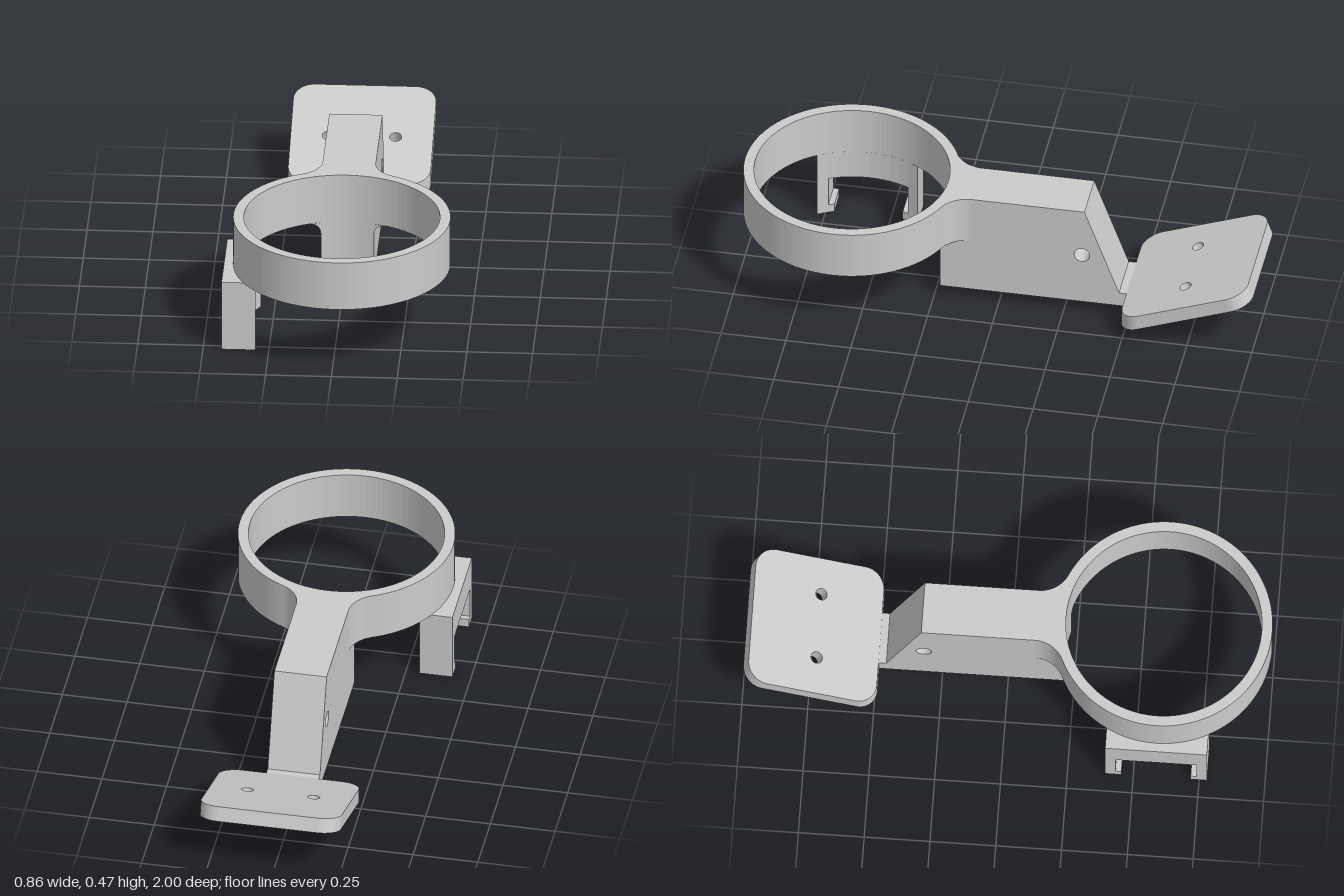
import * as THREE from 'three';

const CX = 0.016, CZ = 0.585;          // ring centre
const R_OUT = 0.412, R_IN = 0.372;     // ring radii
const ARM = 0.101, FIL = 0.12;         // arm half width, neck fillet radius
const FIL_Z = 0.101;                   // where the neck fillet meets the arm

const material = new THREE.MeshStandardMaterial({
  color: 0xcccccc, flatShading: true, side: THREE.DoubleSide });

// z of the ring's inner wall (arm side) for an offset dx from the centre line
const innerZ = dx => CZ - Math.sqrt(R_IN * R_IN - dx * dx);

function addMesh(group, name, geometry) {
  const mesh = new THREE.Mesh(geometry, material);
  mesh.name = name;
  group.add(mesh);
  return mesh;
}

function extrude(shape, depth, curveSegments = 24, steps = 1) {
  return new THREE.ExtrudeGeometry(shape, { depth, curveSegments, steps, bevelEnabled: false });
}

// Plan outline (x, z) raised from y0 to y1
function plan(shape, y0, y1, segments) {
  return extrude(shape, y1 - y0, segments).rotateX(Math.PI / 2).translate(0, y1, 0);
}

function hole(shape, x, y, r) {
  shape.holes.push(new THREE.Path().absarc(x, y, r, 0, Math.PI * 2, true));
}

function moveVertices(geometry, rule) {
  const p = geometry.attributes.position, v = new THREE.Vector3();
  for (let i = 0; i < p.count; i++) {
    v.fromBufferAttribute(p, i);
    rule(v);
    p.setXYZ(i, v.x, v.y, v.z);
  }
  geometry.computeVertexNormals();
  return geometry;
}

// Ring with filleted neck towards the arm
function ringGeometry() {
  const dx = ARM + FIL;
  const a = Math.atan2(FIL_Z - CZ, dx);
  const s = new THREE.Shape();
  s.absarc(CX, CZ, R_OUT, a, Math.PI - a, false);
  s.absarc(CX - dx, FIL_Z, FIL, -a, 0, true);
  s.absarc(CX + dx, FIL_Z, FIL, Math.PI, Math.PI + a, true);
  hole(s, CX, CZ, R_IN);
  return plan(s, 0.28, 0.475, 52);
}

// Arm: side profile (z, y), front end hollowed to the ring's inner wall
function armGeometry() {
  const s = new THREE.Shape([[0.23, 0.05], [0.23, 0.475], [-0.33, 0.475],
    [-0.463, 0.11], [-0.495, 0.11], [-0.49, 0.05]].map(p => new THREE.Vector2(...p)));
  hole(s, -0.32, 0.27, 0.03);
  const g = extrude(s, ARM * 2, 24, 8).rotateY(-Math.PI / 2).translate(CX + ARM, 0, 0);
  return moveVertices(g, v => { if (v.z > 0.2) v.z = innerZ(v.x - CX); });
}

// Concave fillet under the neck, beside the arm
function underFilletGeometry(side) {
  const N = 8, M = 10, pos = [], idx = [];
  for (let i = 0; i <= M; i++) {
    const t = Math.max(0, i - 1) / (M - 1);
    const z = 0.235 + (FIL_Z - 0.235) * t;
    const d = Math.max(0, z - FIL_Z);
    const edge = d < FIL ? FIL - Math.sqrt(FIL * FIL - d * d) : FIL;
    const r = Math.min(0.045, edge);
    for (let j = 0; j <= N; j++) {
      const a = (j / N) * Math.PI / 2;
      const k = i === 0 ? 0 : 1;       // first row closes the front end
      const x = ARM + k * r * (1 - Math.cos(a));
      const y = 0.28 - k * r * (1 - Math.sin(a));
      pos.push(CX + side * x, y, i < 2 ? innerZ(x) : z);
    }
  }
  for (let i = 0; i < M; i++) for (let j = 0; j < N; j++) {
    const a = i * (N + 1) + j, b = a + N + 1;
    if (side > 0) idx.push(a, a + 1, b, b, a + 1, b + 1);
    else idx.push(a, b, a + 1, b, b + 1, a + 1);
  }
  const g = new THREE.BufferGeometry();
  g.setAttribute('position', new THREE.Float32BufferAttribute(pos, 3));
  g.setIndex(idx);
  g.computeVertexNormals();
  return g;
}

// Tilted mounting plate with two screw holes
function plateGeometry() {
  const h = 0.271, L = 0.543, r = 0.08, q = Math.PI / 2;
  const s = new THREE.Shape();
  s.absarc(h - r, r, r, -q, 0, false);
  s.absarc(h - r, L - r, r, 0, q, false);
  s.absarc(r - h, L - r, r, q, 2 * q, false);
  s.absarc(r - h, r, r, 2 * q, 3 * q, false);
  for (const x of [-0.128, 0.128]) hole(s, x, 0.272, 0.023);
  const g = extrude(s, 0.058, 12);
  // front edge stands upright
  moveVertices(g, v => { if (v.z > 0.01 && v.y < 0.1) v.y += 0.024; });
  return g.rotateX(0.354 - Math.PI / 2).translate(CX, 0.05, -0.49);
}

// Clip block: flat outside, hollowed to the ring's inner wall
function clipBlock(z0, z1, y0, y1) {
  const s = new THREE.Shape();
  s.moveTo(-0.43, z0);
  const n = 10;
  for (let i = 0; i <= n; i++) {
    const z = z0 + (z1 - z0) * i / n;
    s.lineTo(CX - Math.sqrt(R_IN * R_IN - (z - CZ) ** 2), z);
  }
  s.lineTo(-0.43, z1);
  s.closePath();
  return plan(s, y0, y1);
}

export function createModel() {
  const model = new THREE.Group();
  model.name = 'ringHolder';
  addMesh(model, 'ring', ringGeometry());
  addMesh(model, 'arm', armGeometry());
  addMesh(model, 'leftUnderFillet', underFilletGeometry(1));
  addMesh(model, 'rightUnderFillet', underFilletGeometry(-1));
  addMesh(model, 'mountingPlate', plateGeometry());

  // Side clip: beam, two legs and inward hooks
  const clip = new THREE.Group();
  clip.name = 'sideClip';
  addMesh(clip, 'clipBeam', clipBlock(0.393, 0.78, 0.16, 0.28));
  addMesh(clip, 'backLeg', clipBlock(0.393, 0.433, 0, 0.16));
  addMesh(clip, 'frontLeg', clipBlock(0.74, 0.78, 0, 0.16));
  addMesh(clip, 'backHook', clipBlock(0.433, 0.455, 0, 0.035));
  addMesh(clip, 'frontHook', clipBlock(0.718, 0.74, 0, 0.035));
  model.add(clip);
  return model;
}
